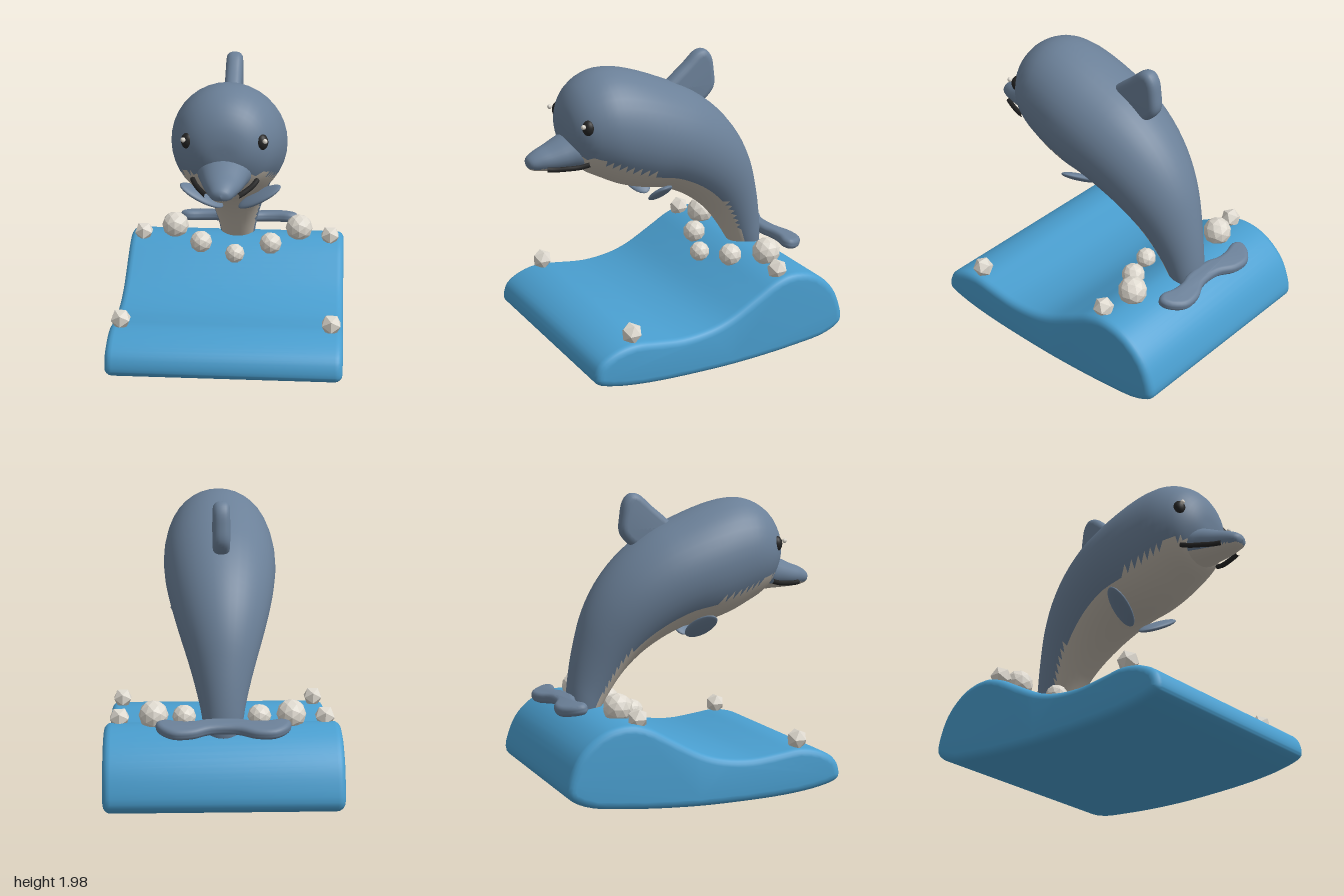
import * as THREE from 'three';
import { toCreasedNormals } from 'three/addons/utils/BufferGeometryUtils.js';

const mat = (name, color, extra = {}) => {
  const m = new THREE.MeshStandardMaterial({ color, ...extra });
  m.name = name;
  return m;
};

// Lofted body: each section is [backZ, backY, bellyZ, bellyY, halfWidth]; two material groups
function loft(sections, rings, sides, isBelly) {
  const back = new THREE.CatmullRomCurve3(sections.map(s => new THREE.Vector3(s[4], s[1], s[0])));
  const belly = new THREE.CatmullRomCurve3(sections.map(s => new THREE.Vector3(0, s[3], s[2])));
  const pos = [], skinIndex = [], bellyIndex = [];
  for (let i = 0; i <= rings; i++) {
    const a = back.getPoint(i / rings), b = belly.getPoint(i / rings);
    for (let j = 0; j < sides; j++) {
      const t = j / sides * Math.PI * 2, f = (1 + Math.cos(t)) / 2;
      pos.push(Math.max(0, a.x) * Math.sin(t), b.y + (a.y - b.y) * f, b.z + (a.z - b.z) * f);
    }
  }
  const height = j => (1 + Math.cos(j / sides * Math.PI * 2)) / 2;
  for (let i = 0; i < rings; i++) {
    for (let j = 0; j < sides; j++) {
      const k = (j + 1) % sides;
      const a = i * sides + j, b = i * sides + k, c = a + sides, d = b + sides;
      for (const tri of [[a, b, c], [b, d, c]]) {
        const f = tri.reduce((s, v) => s + height(v % sides), 0) / 3;
        const y = tri.reduce((s, v) => s + pos[v * 3 + 1], 0) / 3;
        (isBelly(f, y, i / rings) ? bellyIndex : skinIndex).push(...tri);
      }
    }
  }
  const g = new THREE.BufferGeometry();
  g.setAttribute('position', new THREE.Float32BufferAttribute(pos, 3));
  g.setIndex([...skinIndex, ...bellyIndex]);
  g.addGroup(0, skinIndex.length, 0);
  g.addGroup(skinIndex.length, bellyIndex.length, 1);
  g.computeVertexNormals();
  return g;
}

// Rounded slab: smooth closed outline, centred thickness, soft edges
function slab(points, thickness, bevel, samples) {
  const curve = new THREE.CatmullRomCurve3(points.map(p => new THREE.Vector3(p[0], p[1], 0)), true);
  const outline = curve.getPoints(samples).slice(0, -1).map(p => new THREE.Vector2(p.x, p.y));
  const g = new THREE.ExtrudeGeometry(new THREE.Shape(outline), {
    depth: thickness - 2 * bevel, bevelSize: bevel, bevelOffset: -bevel,
    bevelThickness: bevel, bevelSegments: 4,
  });
  g.translate(0, 0, bevel - thickness / 2);
  return toCreasedNormals(g, 0.7);
}

export function createModel() {
  const model = new THREE.Group();
  const water = mat('water blue', 0x4a9fd0);
  const skin = mat('slate skin', 0x6b8098);
  const cream = mat('belly cream', 0xbdb5a9);
  const foam = mat('foam white', 0xded9cf, { flatShading: true });
  const dark = mat('dark', 0x242424);
  const add = (name, geometry, material) => {
    const m = new THREE.Mesh(geometry, material);
    m.name = name;
    model.add(m);
    return m;
  };

  // Wave base, profile in (z, y) swept across x
  const wave = slab([
    [0.89, 0.13], [0.86, 0.23], [0.75, 0.3], [0.6, 0.328], [0.45, 0.31], [0.25, 0.288],
    [0.05, 0.305], [-0.1, 0.35], [-0.3, 0.455], [-0.45, 0.535], [-0.58, 0.568], [-0.75, 0.535],
    [-0.9, 0.42], [-0.975, 0.28], [-0.995, 0.14], [-0.88, 0.065], [-0.6, 0.025], [-0.2, 0.002],
    [0.1, 0.002], [0.5, 0.02], [0.75, 0.055], [0.87, 0.095],
  ], 1.55, 0.05, 88);
  wave.rotateY(-Math.PI / 2);
  add('wave', wave, water);

  // Body, from forehead to tail stock
  add('body', loft([
    [0.745, 1.58, 0.745, 1.58, 0], [0.745, 1.66, 0.735, 1.48, 0.11], [0.72, 1.76, 0.69, 1.38, 0.2],
    [0.65, 1.86, 0.62, 1.29, 0.28], [0.53, 1.93, 0.5, 1.22, 0.34], [0.4, 1.945, 0.36, 1.15, 0.365],
    [0.22, 1.905, 0.2, 1.1, 0.38], [0, 1.82, 0.05, 1.075, 0.375], [-0.2, 1.725, -0.06, 1.03, 0.355],
    [-0.4, 1.57, -0.17, 0.97, 0.32], [-0.55, 1.39, -0.28, 0.89, 0.275],
    [-0.65, 1.2, -0.38, 0.79, 0.225], [-0.71, 1, -0.46, 0.68, 0.18],
    [-0.75, 0.8, -0.52, 0.58, 0.145], [-0.77, 0.6, -0.57, 0.5, 0.12],
    [-0.76, 0.5, -0.62, 0.42, 0.09], [-0.69, 0.44, -0.69, 0.44, 0],
  ], 48, 36, (f, y, t) => y < 1.42 && f < 0.18 + 0.08 * Math.abs(2 * t - 1)), [skin, cream]);

  // Beak, with a pale lower jaw
  add('beak', loft([
    [1, 1.385, 1, 1.375, 0], [0.985, 1.42, 0.975, 1.34, 0.055], [0.93, 1.455, 0.9, 1.322, 0.09],
    [0.85, 1.485, 0.82, 1.315, 0.12], [0.75, 1.53, 0.72, 1.31, 0.15],
    [0.64, 1.57, 0.63, 1.31, 0.17], [0.55, 1.5, 0.55, 1.36, 0],
  ], 24, 28, (f, y) => y < 1.352), [skin, cream]);

  // Dorsal fin, outline in (z, y)
  const dorsal = slab([
    [0, 1.75], [-0.06, 1.81], [-0.17, 1.9], [-0.26, 1.975], [-0.32, 1.98], [-0.365, 1.93],
    [-0.385, 1.83], [-0.39, 1.73], [-0.355, 1.67], [-0.28, 1.62], [-0.12, 1.66],
  ], 0.112, 0.045, 44);
  dorsal.rotateY(-Math.PI / 2);
  add('dorsalFin', dorsal, skin);

  // Tail flukes, mirrored outline in (x, -z)
  const half = [
    [0.08, 0.035], [0.2, 0.088], [0.33, 0.09], [0.42, 0.01], [0.43, -0.055],
    [0.38, -0.085], [0.28, -0.065], [0.19, -0.065], [0.1, -0.09],
  ];
  const flukes = slab([...half, ...half.map(([x, y]) => [-x, y]).reverse()], 0.072, 0.03, 72);
  flukes.rotateX(-Math.PI / 2 - 0.2);
  add('tailFlukes', flukes, skin).position.set(0, 0.613, -0.83);

  for (const [side, s] of [['left', 1], ['right', -1]]) {
    // Flippers: flattened ellipsoids reaching outward and up
    const along = new THREE.Vector3(0.29 * s, 0.17, 0.07).normalize();
    const across = new THREE.Vector3(0, -0.25, 1);
    across.addScaledVector(along, -across.dot(along)).normalize();
    const normal = new THREE.Vector3().crossVectors(across, along);
    const flipper = new THREE.SphereGeometry(1, 24, 14);
    flipper.scale(0.17, 0.026, 0.08);
    flipper.applyMatrix4(new THREE.Matrix4().makeBasis(along, normal, across));
    add(side + 'Flipper', flipper, skin).position.set(0.195 * s, 1.09, 0.12);

    // Eyes with small highlights
    const eye = add(side + 'Eye', new THREE.SphereGeometry(1, 20, 14), dark);
    eye.scale.set(0.045, 0.054, 0.042);
    eye.position.set(0.23 * s, 1.635, 0.655);
    add(side + 'EyeHighlight', new THREE.SphereGeometry(0.016, 10, 8), foam)
      .position.set(0.257 * s, 1.655, 0.705);

    // Mouth line along the beak
    const mouth = new THREE.CatmullRomCurve3([
      [0.205, 1.378, 0.64], [0.182, 1.362, 0.7], [0.152, 1.355, 0.77], [0.118, 1.35, 0.84], [0.095, 1.352, 0.89],
    ].map(([x, y, z]) => new THREE.Vector3(x * s, y, z)));
    add(side + 'MouthLine', new THREE.TubeGeometry(mouth, 20, 0.017, 8), dark);
  }

  // Foam balls: [x, y, z, radius, detail]
  for (const [x, y, z, r, detail] of [
    [0, 0.515, -0.3, 0.07, 1], [0.25, 0.56, -0.4, 0.08, 1], [0.45, 0.625, -0.565, 0.098, 1],
    [0.675, 0.59, -0.51, 0.072, 0], [0.695, 0.38, 0.6, 0.072, 0],
  ]) {
    for (const s of x ? [1, -1] : [1]) {
      add('foamBall', new THREE.IcosahedronGeometry(r, detail), foam).position.set(x * s, y, z);
    }
  }
  return model;
}
